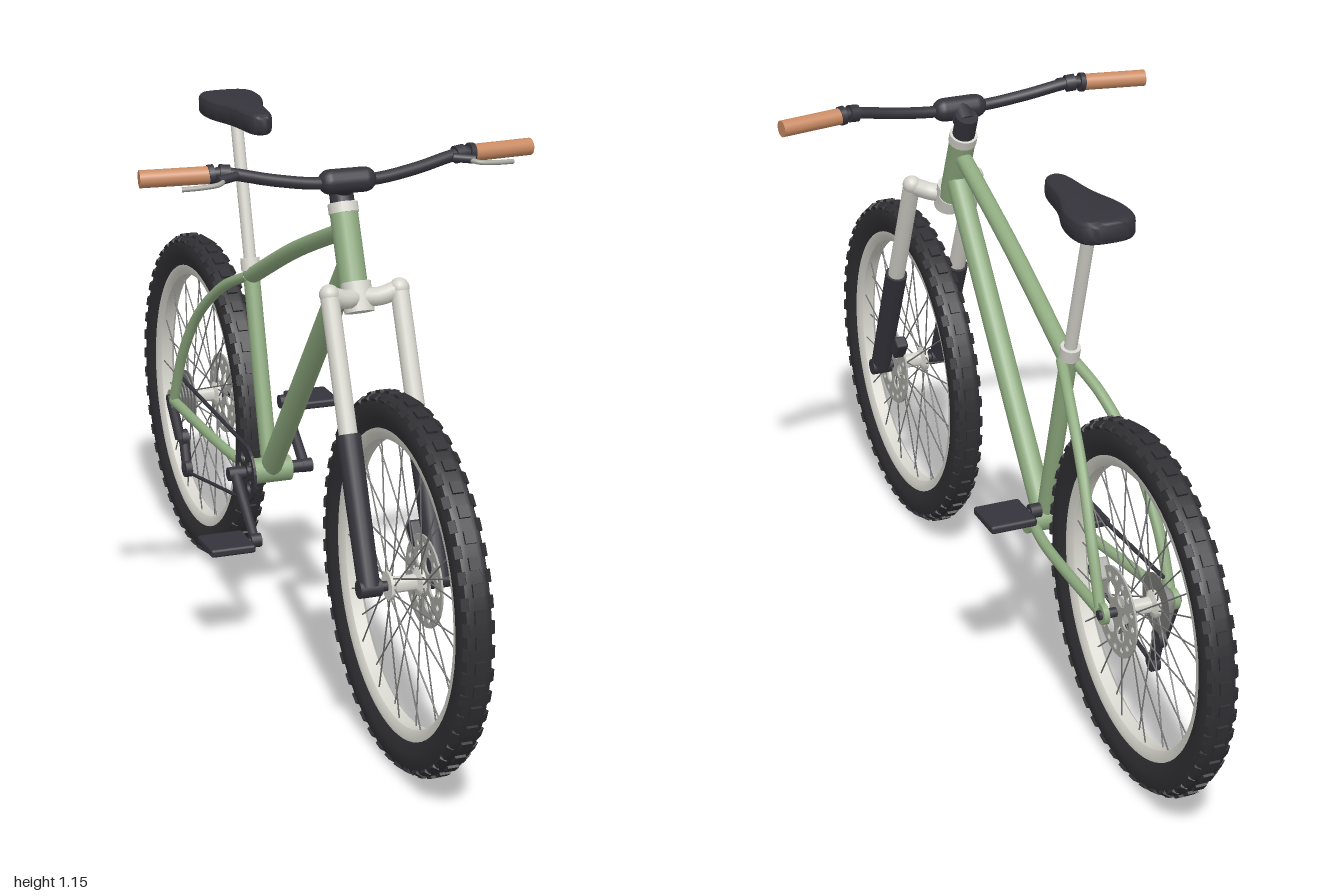
import * as THREE from 'three';
import { toCreasedNormals } from 'three/addons/utils/BufferGeometryUtils.js';
import { RoundedBoxGeometry } from 'three/addons/geometries/RoundedBoxGeometry.js';

const V = (x, y, z) => new THREE.Vector3(x, y, z);
const paint = (name, color) => Object.assign(new THREE.MeshStandardMaterial({ color }), { name });

export function createModel() {
  const green = paint('frameGreen', 0x8fab80);
  const dark = paint('darkParts', 0x35343c);
  const rubber = paint('tyreRubber', 0x303034);
  const pale = paint('paleMetal', 0xd5d4cc);
  const steel = paint('brakeSteel', 0xa9a9a3);
  const spokeGrey = paint('spokeGrey', 0x777776);
  const tan = paint('gripTan', 0xc98a62);

  const bike = new THREE.Group();
  bike.name = 'bicycle';

  const add = (name, geo, mat, parent = bike) => {
    const m = new THREE.Mesh(geo, mat);
    m.name = name;
    parent.add(m);
    return m;
  };
  // straight round bar between two points
  const rod = (name, a, b, r, mat, parent = bike, r2 = r, sides = 16) => {
    const d = b.clone().sub(a);
    const m = add(name, new THREE.CylinderGeometry(r2, r, d.length(), sides), mat, parent);
    m.position.copy(a).addScaledVector(d, 0.5);
    m.quaternion.setFromUnitVectors(V(0, 1, 0), d.normalize());
    return m;
  };
  // bent round bar through points
  const bend = (name, pts, r, mat, parent = bike) =>
    add(name, new THREE.TubeGeometry(new THREE.CatmullRomCurve3(pts), 28, r, 12), mat, parent);
  const box = (name, w, h, d, x, y, z, mat, r = 0.006) => {
    const m = add(name, new RoundedBoxGeometry(w, h, d, 2, r), mat);
    m.position.set(x, y, z);
    return m;
  };
  // closed profile [radius, offset] turned around the x axis
  const ring = (profile, sides) => {
    const pts = [...profile, profile[0]].map(([r, o]) => new THREE.Vector2(r, o));
    return toCreasedNormals(new THREE.LatheGeometry(pts, sides).rotateZ(Math.PI / 2), 0.7);
  };
  // flat plate facing x, with circular holes [distance, radius, count]
  const plate = (radius, t, holes) => {
    const s = new THREE.Shape().absarc(0, 0, radius, 0, Math.PI * 2);
    for (const [dist, r, n] of holes) for (let i = 0; i < n; i++) {
      const a = (i / n) * Math.PI * 2;
      s.holes.push(new THREE.Path().absarc(Math.cos(a) * dist, Math.sin(a) * dist, r, 0, Math.PI * 2, true));
    }
    return new THREE.ExtrudeGeometry(s, { depth: t, bevelEnabled: false, curveSegments: 14 })
      .translate(0, 0, -t / 2).rotateY(Math.PI / 2);
  };

  // wheels
  const wheel = (name, z, discX) => {
    const g = new THREE.Group();
    g.name = name;
    g.position.set(0, 0.378, z);
    bike.add(g);
    add('tyre', ring([[0.303, -0.02], [0.325, -0.03], [0.352, -0.031], [0.367, -0.024], [0.372, -0.01],
      [0.372, 0.01], [0.367, 0.024], [0.352, 0.031], [0.325, 0.03], [0.303, 0.02]], 72), rubber, g);
    add('rim', ring([[0.283, -0.013], [0.294, -0.021], [0.31, -0.021], [0.31, 0.021],
      [0.294, 0.021], [0.283, 0.013]], 64), pale, g);
    add('hub', ring([[0.001, -0.036], [0.028, -0.036], [0.028, -0.028], [0.016, -0.022], [0.016, 0.022],
      [0.028, 0.028], [0.028, 0.036], [0.001, 0.036]], 24), pale, g);
    rod('axle', V(-0.088, 0, 0), V(0.088, 0, 0), 0.01, dark, g);
    for (let i = 0; i < 32; i++) {
      const a = (i / 32) * Math.PI * 2, b = a + (i % 4 < 2 ? 0.5 : -0.5), x = i % 2 ? 0.03 : -0.03;
      rod('spoke', V(x, Math.cos(b) * 0.025, Math.sin(b) * 0.025),
        V(x * 0.2, Math.cos(a) * 0.287, Math.sin(a) * 0.287), 0.0016, spokeGrey, g, 0.0016, 5);
    }
    // tread blocks, alternating on the crown and on both shoulders
    for (let i = 0; i < 48; i++) for (const s of [-1, 0, 1]) {
      const a = ((i + (s ? 0 : 0.5)) / 48) * Math.PI * 2, r = s ? 0.362 : 0.371;
      const k = add('treadBlock', new THREE.BoxGeometry(s ? 0.014 : 0.022, 0.012, 0.024), rubber, g);
      k.position.set(s * 0.023, Math.cos(a) * r, Math.sin(a) * r);
      k.rotation.set(a, 0, -s * 0.6, 'XYZ');
    }
    add('brakeDisc', plate(0.093, 0.004, [[0.076, 0.007, 16], [0.045, 0.017, 6]]), steel, g).position.x = discX;
    return g;
  };
  wheel('frontWheel', 0.623, 0.042);
  const rear = wheel('rearWheel', -0.623, 0.048);

  // cassette, stacked from large to small
  for (let i = 0; i < 6; i++) {
    const c = add('cassetteCog', ring([[0.012, -0.0015], [0.062 - i * 0.007, -0.0015],
      [0.062 - i * 0.007, 0.0015], [0.012, 0.0015]], 28), spokeGrey, rear);
    c.position.x = -0.038 - i * 0.005;
  }

  // frame
  const bb = V(0, 0.35, -0.158);
  rod('headTube', V(0, 0.885, 0.348), V(0, 1.035, 0.285), 0.028, green);
  rod('headsetTop', V(0, 1.033, 0.286), V(0, 1.052, 0.278), 0.03, pale);
  rod('headsetBottom', V(0, 0.868, 0.355), V(0, 0.887, 0.347), 0.03, pale);
  rod('downTube', V(0, 0.935, 0.315), bb, 0.024, green);
  bend('topTube', [V(0, 1.0, 0.29), V(0, 0.885, 0.0), V(0, 0.757, -0.275)], 0.018, green);
  rod('seatTube', bb, V(0, 0.775, -0.28), 0.018, green);
  rod('seatCollar', V(0, 0.768, -0.278), V(0, 0.795, -0.286), 0.021, pale);
  rod('bottomBracket', V(-0.045, bb.y, bb.z), V(0.045, bb.y, bb.z), 0.028, green);
  for (const s of [-1, 1]) {
    bend('seatStay', [V(s * 0.012, 0.76, -0.268), V(s * 0.035, 0.715, -0.36), V(s * 0.058, 0.62, -0.475),
      V(s * 0.072, 0.5, -0.555), V(s * 0.076, 0.385, -0.605)], 0.0115, green);
    bend('chainStay', [V(s * 0.03, 0.35, -0.16), V(s * 0.05, 0.353, -0.28), V(s * 0.076, 0.376, -0.612)], 0.0115, green);
    rod('dropout', V(s * 0.07, 0.378, -0.62), V(s * 0.082, 0.378, -0.62), 0.022, green);
  }

  // saddle and post
  rod('seatPost', V(0, 0.77, -0.278), V(0, 1.095, -0.375), 0.0135, pale);
  const sh = new THREE.Shape();
  sh.moveTo(0, 0.2);
  sh.bezierCurveTo(0.02, 0.2, 0.018, 0.24, 0.024, 0.28);
  sh.bezierCurveTo(0.032, 0.34, 0.054, 0.36, 0.054, 0.41);
  sh.bezierCurveTo(0.054, 0.455, 0.045, 0.463, 0, 0.463);
  sh.bezierCurveTo(-0.045, 0.463, -0.054, 0.455, -0.054, 0.41);
  sh.bezierCurveTo(-0.054, 0.36, -0.032, 0.34, -0.024, 0.28);
  sh.bezierCurveTo(-0.018, 0.24, -0.02, 0.2, 0, 0.2);
  const saddle = new THREE.ExtrudeGeometry(sh, { depth: 0.022, bevelThickness: 0.012, bevelSize: 0.011, bevelSegments: 4, curveSegments: 10 });
  // shape runs backwards along -z
  add('saddle', toCreasedNormals(saddle.rotateX(-Math.PI / 2), 0.9), dark).position.set(0, 1.097, 0);

  // fork
  const leg = (s, t) => V(s * 0.073, 0.905 - 0.525 * t, 0.4 + 0.223 * t);
  rod('crownCentre', V(0, 0.855, 0.375), V(0, 0.91, 0.352), 0.03, pale);
  for (const s of [-1, 1]) {
    bend('forkCrown', [V(0, 0.885, 0.365), V(s * 0.035, 0.888, 0.388), V(s * 0.073, 0.903, 0.4)], 0.019, pale);
    add('crownCap', new THREE.SphereGeometry(0.02, 16, 12), pale).position.copy(leg(s, 0));
    rod('stanchion', leg(s, 0), leg(s, 0.52), 0.0185, pale);
    rod('forkLower', leg(s, 1.0), leg(s, 0.48), 0.022, dark, bike, 0.0245);
    rod('axleFoot', V(s * 0.05, 0.378, 0.623), V(s * 0.095, 0.378, 0.623), 0.018, dark);
  }

  // brake calipers beside the discs
  box('frontCaliper', 0.028, 0.05, 0.03, 0.052, 0.45, 0.553, dark).rotation.x = -0.6;
  box('rearCaliper', 0.028, 0.045, 0.03, 0.052, 0.44, -0.558, steel).rotation.x = 0.6;

  // handlebar, stem and controls
  rod('steerer', V(0, 1.045, 0.281), V(0, 1.098, 0.258), 0.024, dark);
  rod('stem', V(0, 1.08, 0.265), V(0, 1.103, 0.302), 0.024, dark);
  add('stemClamp', new THREE.CapsuleGeometry(0.025, 0.07, 6, 16).rotateZ(Math.PI / 2), dark).position.set(0, 1.103, 0.302);
  bend('handlebar', [V(-0.3, 1.13, 0.274), V(-0.25, 1.133, 0.28), V(-0.15, 1.114, 0.294), V(-0.06, 1.102, 0.302),
    V(0.06, 1.102, 0.302), V(0.15, 1.114, 0.294), V(0.25, 1.133, 0.28), V(0.3, 1.13, 0.274)], 0.0125, dark);
  for (const s of [-1, 1]) {
    rod('grip', V(s * 0.275, 1.131, 0.277), V(s * 0.41, 1.129, 0.257), 0.0175, tan);
    rod('gripCollar', V(s * 0.266, 1.132, 0.278), V(s * 0.277, 1.131, 0.277), 0.02, dark);
    rod('leverClamp', V(s * 0.236, 1.131, 0.282), V(s * 0.256, 1.133, 0.279), 0.018, dark);
    rod('leverBody', V(s * 0.225, 1.13, 0.298), V(s * 0.268, 1.126, 0.312), 0.009, dark);
    bend('brakeLever', [V(s * 0.255, 1.126, 0.308), V(s * 0.27, 1.123, 0.326), V(s * 0.305, 1.12, 0.328),
      V(s * 0.345, 1.118, 0.322)], 0.005, steel);
  }

  // cranks and pedals
  rod('crankSpindle', V(-0.09, bb.y, bb.z), V(0.09, bb.y, bb.z), 0.014, dark);
  for (const s of [-1, 1]) {
    const end = V(s * 0.085, bb.y + s * 0.102, bb.z - s * 0.145);
    rod('crankArm', V(s * 0.08, bb.y, bb.z), end, 0.012, dark, bike, 0.01);
    for (const p of [V(s * 0.08, bb.y, bb.z), end]) {
      rod('crankBoss', p.clone().setX(s * 0.073), p.clone().setX(s * 0.096), 0.015, dark);
    }
    rod('pedalAxle', end, end.clone().setX(s * 0.12), 0.006, dark);
    box('pedal', 0.1, 0.018, 0.1, s * 0.149, end.y, end.z, dark);
  }

  // chainring, chain and derailleur on the right side
  add('chainring', plate(0.064, 0.006, [[0.037, 0.015, 5]]), dark).position.set(-0.055, bb.y, bb.z);
  const cx = -0.055;
  rod('chainTop', V(cx, 0.412, -0.165), V(cx, 0.428, -0.615), 0.0045, dark, bike, 0.0045, 6);
  rod('chainBottom', V(cx, 0.287, -0.15), V(cx, 0.21, -0.575), 0.0045, dark, bike, 0.0045, 6);
  rod('derailleurCage', V(cx, 0.215, -0.58), V(cx, 0.29, -0.605), 0.012, dark);
  rod('derailleurArm', V(cx - 0.01, 0.285, -0.6), V(-0.078, 0.37, -0.622), 0.012, dark);
  for (const [y, z] of [[0.218, -0.58], [0.285, -0.605]]) {
    rod('jockeyWheel', V(cx - 0.008, y, z), V(cx + 0.008, y, z), 0.02, dark);
  }
  return bike;
}
